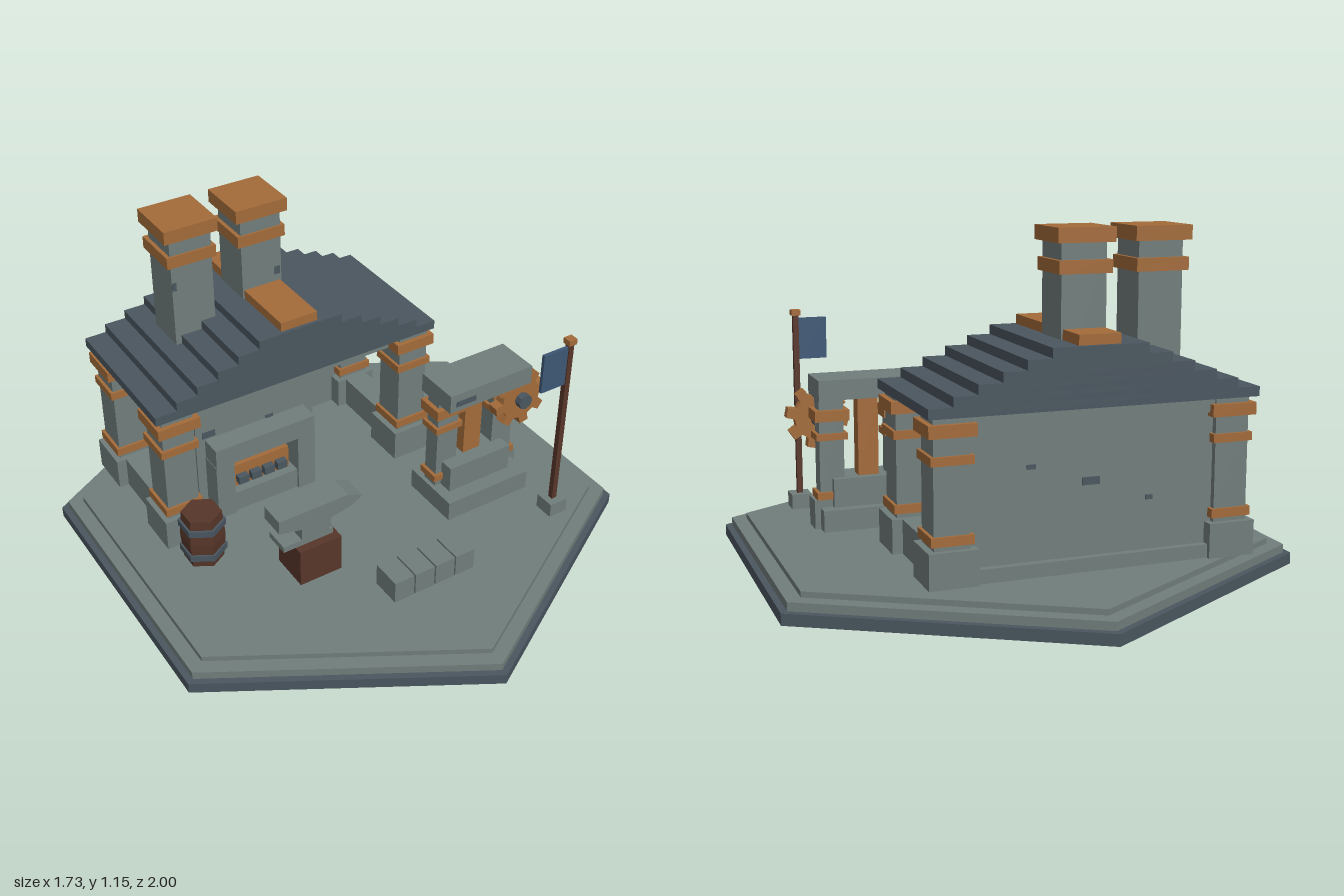
import * as THREE from 'three';

const mat = (name, color) => {
  const m = new THREE.MeshStandardMaterial({ color, flatShading: true });
  m.name = name;
  return m;
};

export function createModel() {
  const stone = mat('stone', 0x717e7c);
  const slate = mat('slate', 0x4a565f);
  const copper = mat('copper', 0xa36b3a);
  const wood = mat('wood', 0x57362a);
  const cloth = mat('cloth', 0x3e5775);
  const root = new THREE.Group();
  root.name = 'forgeTile';

  const group = (name) => {
    const g = new THREE.Group();
    g.name = name;
    root.add(g);
    return g;
  };
  const add = (parent, name, geo, m, x = 0, y = 0, z = 0) => {
    const mesh = new THREE.Mesh(geo, m);
    mesh.name = name;
    mesh.position.set(x, y, z);
    parent.add(mesh);
    return mesh;
  };
  // box given by its limits on each axis
  const box = (p, name, m, x0, x1, y0, y1, z0, z1) =>
    add(p, name, new THREE.BoxGeometry(x1 - x0, y1 - y0, z1 - z0), m,
      (x0 + x1) / 2, (y0 + y1) / 2, (z0 + z1) / 2);
  // box centred on (x, z) with half sizes
  const block = (p, name, m, x, z, hx, hz, y0, y1) =>
    box(p, name, m, x - hx, x + hx, y0, y1, z - hz, z + hz);
  const hex = (p, name, m, r0, r1, y0, y1, x = 0, z = 0) =>
    add(p, name, new THREE.CylinderGeometry(r1, r0, y1 - y0, 6), m, x, (y0 + y1) / 2, z);

  // hexagonal ground plate
  const base = group('base');
  hex(base, 'lowerPlate', slate, 1, 1, 0, 0.038);
  hex(base, 'middlePlate', stone, 0.975, 0.975, 0.038, 0.066);
  hex(base, 'upperPlate', stone, 0.92, 0.92, 0.066, 0.085);

  // four corner pillars with copper bands
  const house = group('house');
  for (const x of [-0.58, 0.36]) {
    for (const z of [-0.125, -0.52]) {
      block(house, 'pillarBase', stone, x, z, 0.08, 0.08, 0.085, 0.2);
      block(house, 'pillarShaft', stone, x, z, 0.058, 0.06, 0.2, 0.61);
      block(house, 'pillarLowBand', copper, x, z, 0.069, 0.069, 0.215, 0.245);
      block(house, 'pillarBand', copper, x, z, 0.069, 0.069, 0.462, 0.49);
      block(house, 'pillarCapital', copper, x, z, 0.077, 0.077, 0.547, 0.587);
    }
    // low side wall and top side beam
    block(house, 'lowSideWall', stone, x, -0.32, 0.045, 0.14, 0.085, 0.2);
    block(house, 'sideBeam', stone, x, -0.32, 0.045, 0.14, 0.595, 0.612);
  }
  box(house, 'backWall', stone, -0.53, 0.31, 0.085, 0.61, -0.56, -0.49);
  box(house, 'backPlinth', stone, -0.52, 0.3, 0.085, 0.13, -0.585, -0.56);
  box(house, 'backBeam', stone, -0.52, 0.3, 0.56, 0.61, -0.575, -0.56);
  box(house, 'frontBeam', stone, -0.52, 0.3, 0.547, 0.61, -0.17, -0.11);

  // stepped roof and ridge cap
  [0.55, 0.472, 0.395, 0.317, 0.24, 0.16].forEach((w, i) =>
    block(house, 'roofStep', slate, -0.11, -0.33, w, 0.278, 0.608 + i * 0.032, 0.64 + i * 0.032));
  box(house, 'ridgeCap', copper, -0.18, -0.04, 0.8, 0.833, -0.595, -0.065);

  // twin chimneys
  for (const x of [-0.372, -0.11]) {
    block(house, 'chimneyShaft', stone, x, -0.39, 0.076, 0.078, 0.6, 1.1);
    block(house, 'chimneyBand', copper, x, -0.395, 0.09, 0.09, 1.004, 1.046);
    block(house, 'chimneyCap', copper, x, -0.395, 0.097, 0.097, 1.1, 1.147);
  }

  // hearth with framed fire opening
  const hearth = group('hearth');
  box(hearth, 'hearthBody', stone, -0.47, 0, 0.085, 0.608, -0.43, -0.17);
  box(hearth, 'mantel', stone, -0.435, -0.04, 0.31, 0.385, -0.17, -0.09);
  for (const x of [-0.402, -0.075])
    block(hearth, 'hearthLeg', stone, x, -0.13, 0.035, 0.04, 0.085, 0.31);
  box(hearth, 'hearthSill', stone, -0.367, -0.11, 0.085, 0.165, -0.17, -0.1);
  box(hearth, 'fireBack', slate, -0.367, -0.11, 0.165, 0.31, -0.17, -0.162);
  box(hearth, 'fire', copper, -0.35, -0.125, 0.165, 0.255, -0.162, -0.135);
  for (let i = 0; i < 4; i++)
    block(hearth, 'coal', slate, -0.32 + i * 0.052, -0.125, 0.02, 0.015, 0.185, 0.215);

  // chipped stone marks
  const marks = group('chippedMarks');
  const mark = (x, y, z, w, h) =>
    block(marks, 'chip', slate, x, z, w / 2, 0.002, y - h / 2, y + h / 2);
  mark(-0.42, 0.405, -0.169, 0.05, 0.025);
  mark(-0.18, 0.39, -0.169, 0.03, 0.015);
  mark(-0.1, 0.37, -0.561, 0.06, 0.025);
  mark(0.1, 0.43, -0.561, 0.03, 0.015);
  mark(-0.3, 0.3, -0.561, 0.025, 0.015);
  mark(-0.05, 0.875, -0.311, 0.02, 0.03);
  mark(-0.44, 0.93, -0.311, 0.015, 0.03);
  mark(0.31, 0.565, 0.321, 0.08, 0.02);

  // anvil on a wooden stump
  const anvil = group('anvil');
  box(anvil, 'stump', wood, -0.365, -0.205, 0.085, 0.228, 0.205, 0.35);
  box(anvil, 'anvilFoot', stone, -0.41, -0.22, 0.228, 0.25, 0.225, 0.32);
  const profile = new THREE.Shape([
    [-0.425, 0.365], [-0.425, 0.315], [-0.34, 0.295], [-0.34, 0.25], [-0.235, 0.25],
    [-0.225, 0.298], [-0.15, 0.312], [-0.105, 0.338], [-0.16, 0.365],
  ].map(([x, y]) => new THREE.Vector2(x, y)));
  add(anvil, 'anvilBody', new THREE.ExtrudeGeometry(profile, { depth: 0.095, bevelEnabled: false }),
    stone, 0, 0, 0.225);

  // row of stone blocks
  const blocks = group('stoneBlocks');
  for (let i = 0; i < 4; i++)
    block(blocks, 'stoneBlock', stone, -0.108 + i * 0.0815, 0.53, 0.038, 0.055, 0.085, 0.167);

  // hexagonal barrel
  const barrel = group('barrel');
  const bx = -0.567, bz = 0.043;
  hex(barrel, 'barrelLower', wood, 0.069, 0.077, 0.085, 0.182, bx, bz);
  hex(barrel, 'barrelUpper', wood, 0.077, 0.069, 0.182, 0.28, bx, bz);
  for (const y of [0.115, 0.222]) hex(barrel, 'barrelHoop', slate, 0.081, 0.081, y, y + 0.024, bx, bz);

  // machine frame with gear
  const mill = group('gearFrame');
  box(mill, 'frameBase', stone, 0.245, 0.59, 0.085, 0.16, 0.115, 0.345);
  box(mill, 'frameSill', stone, 0.285, 0.545, 0.16, 0.26, 0.15, 0.29);
  box(mill, 'frameLintel', stone, 0.245, 0.59, 0.535, 0.605, 0.155, 0.32);
  box(mill, 'copperPanel', copper, 0.378, 0.45, 0.26, 0.535, 0.18, 0.235);
  for (const x of [0.303, 0.545]) {
    block(mill, 'framePost', stone, x, 0.205, 0.043, 0.032, 0.16, 0.535);
    block(mill, 'postLowBand', copper, x, 0.205, 0.055, 0.042, 0.187, 0.213);
    block(mill, 'postBand', copper, x, 0.205, 0.055, 0.042, 0.395, 0.418);
    block(mill, 'postTopBand', copper, x, 0.205, 0.06, 0.05, 0.462, 0.5);
  }
  block(mill, 'sidePost', stone, 0.585, 0.205, 0.025, 0.04, 0.085, 0.187);

  const gear = new THREE.Shape();
  const teeth = 8;
  for (let i = 0; i < teeth; i++) {
    [[-0.3, 0.08], [-0.2, 0.11], [0.2, 0.11], [0.3, 0.08]].forEach(([o, r], k) => {
      const a = ((i + o) / teeth) * Math.PI * 2 + 0.2;
      gear[i + k === 0 ? 'moveTo' : 'lineTo'](r * Math.cos(a), r * Math.sin(a));
    });
  }
  add(mill, 'gear', new THREE.ExtrudeGeometry(gear, { depth: 0.04, bevelEnabled: false }),
    copper, 0.572, 0.46, 0.258);
  add(mill, 'gearHub', new THREE.CylinderGeometry(0.028, 0.028, 0.11, 8), slate, 0.572, 0.46, 0.27)
    .rotation.x = Math.PI / 2;

  // flag on a pole
  const flag = group('flag');
  block(flag, 'flagFoot', stone, 0.595, 0.485, 0.036, 0.037, 0.085, 0.138);
  block(flag, 'flagPole', wood, 0.595, 0.485, 0.01, 0.01, 0.138, 0.79);
  block(flag, 'poleCap', copper, 0.595, 0.485, 0.016, 0.016, 0.79, 0.81);
  box(flag, 'flagCloth', cloth, 0.485, 0.586, 0.632, 0.78, 0.479, 0.491);

  return root;
}
